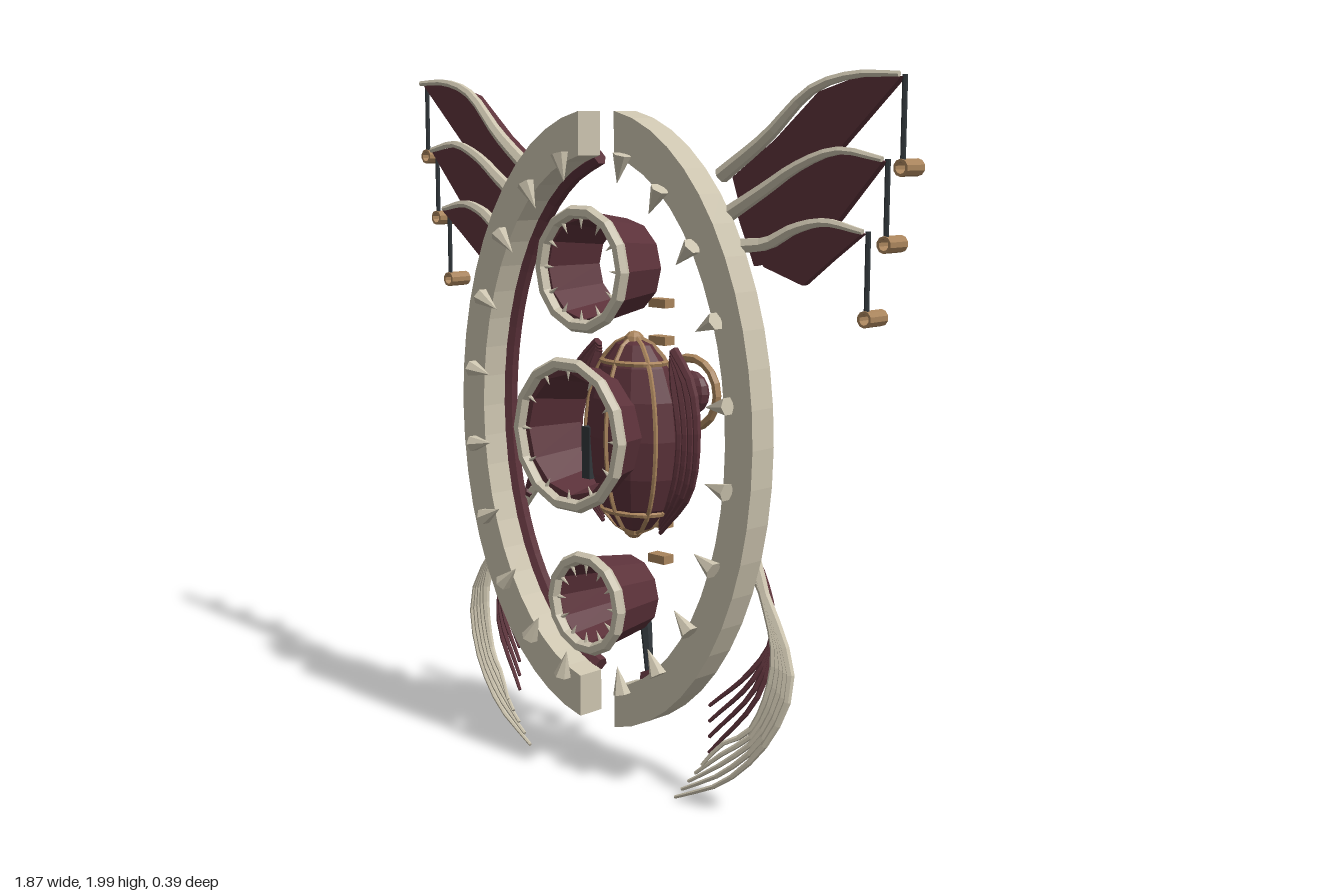
import * as THREE from 'three';

const mat = (name, color) => {
  const m = new THREE.MeshStandardMaterial({ color, flatShading: true, side: THREE.DoubleSide });
  m.name = name;
  return m;
};
const V = (x, y, z) => new THREE.Vector3(x, y, z);
const CY = 1.03; // height of the frame's centre

export function createModel() {
  const bone = mat('bone', 0xcbc3ae);
  const maroon = mat('maroon', 0x5c323a);
  const bronze = mat('bronze', 0xa9845c);
  const dark = mat('dark iron', 0x30363a);
  const model = new THREE.Group();

  const add = (name, geo, material, x = 0, y = 0, z = 0) => {
    const m = new THREE.Mesh(geo, material);
    m.name = name;
    m.position.set(x, y, z);
    model.add(m);
    return m;
  };

  // Tapered tube through points, capped at both ends
  const strand = (name, pts, r0, r1, material, n = 14, sides = 6) => {
    const curve = new THREE.CatmullRomCurve3(pts);
    const geo = new THREE.TubeGeometry(curve, n, 1, sides);
    const p = geo.attributes.position, v = V(0, 0, 0);
    for (let i = 0; i <= n; i++) {
      const c = curve.getPointAt(i / n);
      const t = THREE.MathUtils.clamp((i - 1) / (n - 2), 0, 1);
      const target = curve.getPointAt(t);
      const r = i === 0 || i === n ? 0 : THREE.MathUtils.lerp(r0, r1, t);
      for (let j = 0; j <= sides; j++) {
        const k = i * (sides + 1) + j;
        v.fromBufferAttribute(p, k).sub(c).multiplyScalar(r).add(target);
        p.setXYZ(k, v.x, v.y, v.z);
      }
    }
    return add(name, geo, material);
  };

  // Cone with its middle at pos, pointing along dir
  const tooth = (name, pos, dir, r, h) => {
    const m = add(name, new THREE.ConeGeometry(r, h, 6), bone, pos.x, pos.y, pos.z);
    m.quaternion.setFromUnitVectors(V(0, 1, 0), dir.clone().normalize());
  };

  // Hollow sleeve along z: back radii, front radii, length
  const sleeve = (name, bi, bo, fi, fo, z0, z1, x, y, material, sides) => {
    const pts = [[bi, z0], [bo, z0], [fo, z1], [fi, z1], [bi, z0]].map(p => new THREE.Vector2(...p));
    add(name, new THREE.LatheGeometry(pts, sides), material, x, y, 0).rotation.x = Math.PI / 2;
  };

  for (const s of [-1, 1]) {
    const onEllipse = (a, b, t, z) => V(s * a * Math.cos(t), CY + b * Math.sin(t), z);

    // Split oval frame
    const outline = [], N = 24;
    const oEnd = Math.acos(0.07 / 0.577), iEnd = Math.acos(0.07 / 0.482);
    for (let i = 0; i <= N; i++) outline.push(onEllipse(0.577, 0.875, oEnd * (2 * i / N - 1), 0));
    for (let i = 0; i <= N; i++) outline.push(onEllipse(0.482, 0.755, iEnd * (1 - 2 * i / N), 0));
    const half = new THREE.Shape(outline.map(p => new THREE.Vector2(p.x, p.y)));
    add('frameHalf', new THREE.ExtrudeGeometry(half, { depth: 0.085, bevelEnabled: false }), bone, 0, 0, 0.025);

    // Lining behind the inner edge
    const lining = [];
    for (let i = 0; i <= 12; i++) lining.push(onEllipse(0.482, 0.755, 1.38 * (i / 6 - 1), 0.005));
    strand('frameLining', lining, 0.023, 0.023, maroon, 32);

    // Studs on the back
    for (let i = 0; i < 9; i++) {
      const p = onEllipse(0.535, 0.82, 1.36 * (i / 4 - 1), 0.018);
      add('stud', new THREE.SphereGeometry(0.023, 8, 6), bronze, p.x, p.y, p.z);
    }

    // Teeth pointing inwards
    for (let i = 0; i < 10; i++) {
      const t = 1.33 * (i / 4.5 - 1);
      const p = onEllipse(0.475, 0.735, t, 0.132);
      tooth('frameTooth', p, V(-s * Math.cos(t), -Math.sin(t), 0), 0.026, 0.08);
    }

    // Wings: arm, membrane and hanging lantern
    const wings = [
      { arm: [[0.375, 1.73], [0.52, 1.83], [0.66, 1.95], [0.78, 1.985], [0.915, 1.985]],
        edge: [[0.42, 1.60], [0.62, 1.70], [0.72, 1.80]], drop: 1.76 },
      { arm: [[0.40, 1.63], [0.52, 1.70], [0.62, 1.76], [0.74, 1.80], [0.87, 1.78]],
        edge: [[0.46, 1.50], [0.61, 1.54], [0.68, 1.57]], drop: 1.57 },
      { arm: [[0.45, 1.55], [0.53, 1.56], [0.61, 1.60], [0.70, 1.62], [0.815, 1.60]],
        edge: [[0.50, 1.50], [0.63, 1.46], [0.72, 1.53]], drop: 1.38 },
    ];
    wings.forEach(({ arm, edge, drop }, w) => {
      const tip = arm[4];
      strand('wingArm', arm.map(([x, y], i) => V(s * x, y, 0.015 - 0.009 * i)), 0.022, 0.008, bone);
      const sheet = new THREE.Shape([...arm, ...edge.slice().reverse()].map(([x, y]) => new THREE.Vector2(s * x, y - 0.005)));
      add('wingMembrane', new THREE.ExtrudeGeometry(sheet, { depth: 0.022, bevelEnabled: false }), maroon, 0, 0, -0.052 + 0.007 * w);
      add('lanternRod', new THREE.CylinderGeometry(0.007, 0.007, tip[1] - drop - 0.02, 6), dark,
        s * tip[0], (tip[1] + drop + 0.02) / 2, -0.045);
      sleeve('lantern', 0.015, 0.022, 0.015, 0.022, -0.108, -0.035, s * tip[0], drop, bronze, 10);
    });

    // Trailing bone claws
    for (let i = 0; i < 5; i++) {
      strand('boneClaw', [V(s * (0.40 + 0.02 * i), 0.78 - 0.02 * i, -0.02), V(s * 0.52, 0.62, -0.01),
        V(s * (0.642 - 0.014 * i), 0.41 + 0.01 * i, 0.02), V(s * (0.60 - 0.018 * i), 0.25, 0.05),
        V(s * (0.47 - 0.004 * i), 0.10 + 0.025 * i, 0.08), V(s * (0.30 + 0.025 * i), 0.012 + 0.03 * i, 0.1)],
      0.017, 0.005, bone, 16);
    }
    // Trailing maroon claws
    for (let i = 0; i < 4; i++) {
      strand('maroonClaw', [V(s * (0.375 + 0.012 * i), 0.87 - 0.035 * i, -0.01), V(s * 0.48, 0.68, -0.035),
        V(s * 0.545, 0.50, -0.02), V(s * (0.53 - 0.01 * i), 0.34 + 0.02 * i, 0.02),
        V(s * 0.39, 0.155 + 0.045 * i, 0.06)], 0.014, 0.005, maroon, 16);
    }
    // Curved arms hugging the core
    for (let i = 0; i < 4; i++) {
      const x = 0.268 - 0.022 * i;
      strand('coreArm', [V(s * 0.15, 1.24 - 0.01 * i, -0.045), V(s * (x - 0.035), 1.15, -0.03), V(s * x, 1.0, -0.015),
        V(s * (x - 0.03), 0.85, -0.02), V(s * 0.115, 0.715 + 0.01 * i, -0.03)], 0.015, 0.006, maroon);
    }
  }

  // Core with bronze ribs and bands
  const C = { x: 0.03, y: 0.99, z: -0.01, a: 0.16, b: 0.285, c: 0.112 };
  add('core', new THREE.SphereGeometry(1, 12, 8), maroon, C.x, C.y, C.z).scale.set(C.a, C.b, C.c);
  const onCore = (lat, lon) => V(C.x + C.a * Math.cos(lat) * Math.cos(lon), C.y + C.b * Math.sin(lat),
    C.z + C.c * Math.cos(lat) * Math.sin(lon));
  for (let k = 0; k < 6; k++) {
    const rib = [];
    for (let i = 0; i <= 8; i++) rib.push(onCore(1.5 * (i / 4 - 1), (k + 0.5) * Math.PI / 3));
    strand('coreRib', rib, 0.007, 0.007, bronze, 16, 5);
  }
  for (const lat of [-0.85, 0.85]) {
    const band = [];
    for (let i = 0; i <= 12; i++) band.push(onCore(lat, i * Math.PI / 6));
    strand('coreBand', band, 0.008, 0.008, bronze, 24, 5);
  }
  for (const d of [-1, 1]) add('coreCap', new THREE.SphereGeometry(0.03, 8, 6), bronze, C.x, C.y + d * 0.27, C.z);
  add('coreBar', new THREE.BoxGeometry(0.032, 0.15, 0.2), dark, -0.065, 0.94, -0.01);

  // Row of vertebrae behind the core
  for (let i = 0; i < 8; i++)
    add('vertebra', new THREE.BoxGeometry(0.065, 0.025, 0.04), bronze, 0.025, 0.61 + 0.107 * i, -0.127);

  // Eye and its ring at the back
  add('eyeRing', new THREE.TorusGeometry(0.1, 0.013, 6, 18), bronze, 0.108, 1.105, -0.163);
  add('eye', new THREE.SphereGeometry(1, 12, 8), maroon, 0.108, 1.105, -0.165).scale.set(0.064, 0.064, 0.032);

  // Three hollow drums with toothed bone rims
  for (const [x, y, R] of [[0.012, 1.472, 0.178], [-0.042, 1.005, 0.222], [0.027, 0.532, 0.15]]) {
    sleeve('drum', R * 0.62, R * 0.74, R * 0.78, R * 0.9, 0, 0.17, x, y, maroon, 12);
    add('drumRim', new THREE.TorusGeometry(R - 0.019, 0.019, 6, 14), bone, x, y, 0.178);
    for (let i = 0; i < 12; i++) {
      const t = i * Math.PI / 6, d = V(Math.cos(t), Math.sin(t), 0);
      tooth('rimTooth', d.clone().multiplyScalar(R - 0.045).add(V(x, y, 0.178)), d.negate(), 0.01, 0.05);
    }
  }

  // Jointed tail
  strand('tailUpper', [V(0.003, 0.525, -0.073), V(0.025, 0.4, -0.068), V(0.05, 0.27, -0.055)], 0.022, 0.012, dark, 8);
  strand('tailLower', [V(0.05, 0.275, -0.055), V(0.01, 0.195, -0.03), V(-0.03, 0.12, -0.005)], 0.013, 0.003, dark, 8);

  return model;
}
